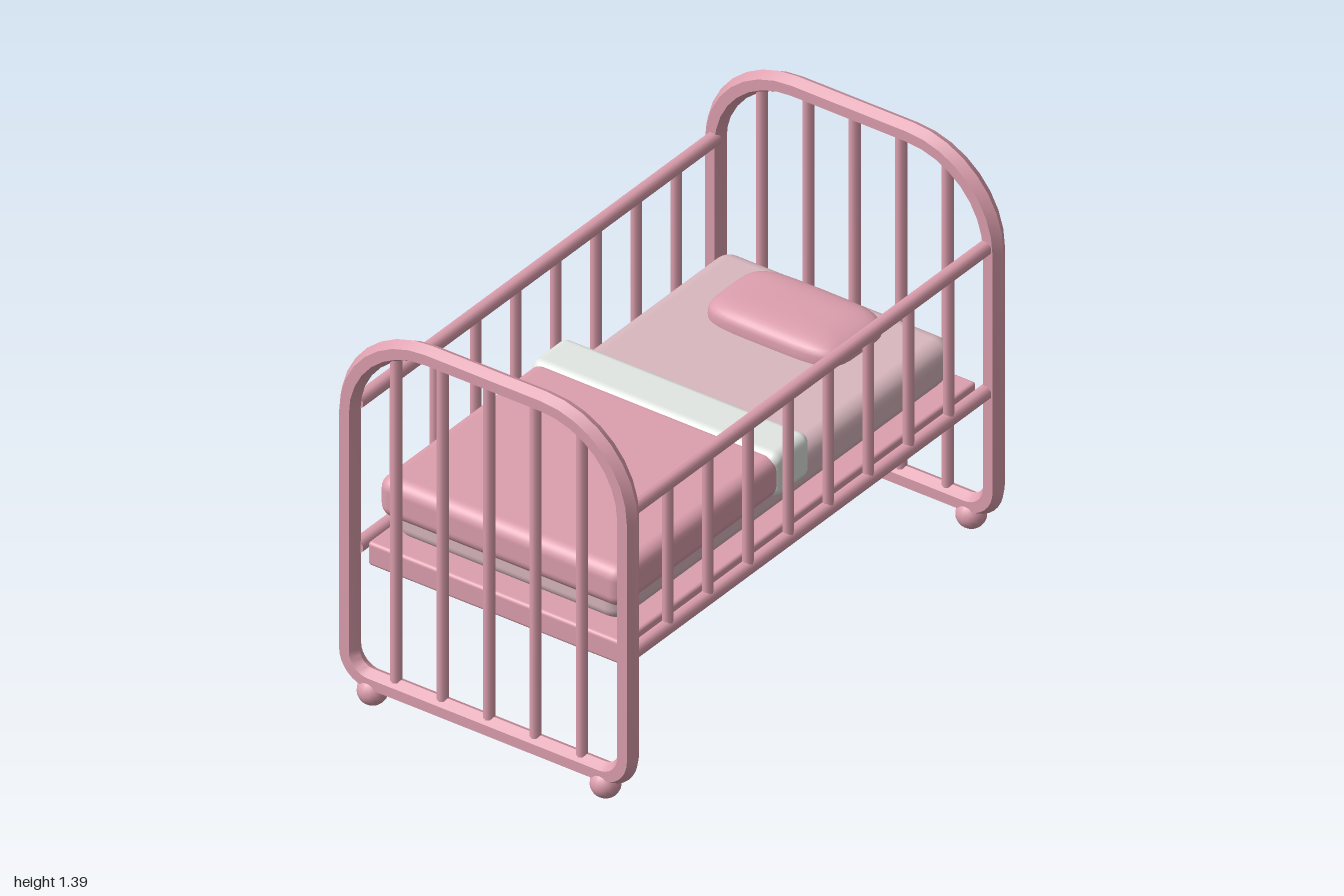
import * as THREE from 'three';
import { toCreasedNormals } from 'three/addons/utils/BufferGeometryUtils.js';
import { RoundedBoxGeometry } from 'three/addons/geometries/RoundedBoxGeometry.js';

const paint = (name, color) => Object.assign(new THREE.MeshStandardMaterial({ color }), { name });

// Closed upright loop with wide upper corners and a six-sided section
function loopFrame(radius) {
  const corners = [
    [0.22, 1.045, 0.31, 0], [-0.22, 1.045, 0.31, 1],
    [-0.44, 0.18, 0.09, 2], [0.44, 0.18, 0.09, 3],
  ];
  const steps = 8, sides = 6, pos = [], index = [];
  for (const [cx, cy, r, quarter] of corners) {
    for (let i = 0; i <= steps; i++) {
      const a = (quarter + i / steps) * Math.PI / 2;
      for (let j = 0; j < sides; j++) {
        const b = j / sides * Math.PI * 2;
        const d = r + radius * Math.cos(b);
        pos.push(cx + d * Math.cos(a), cy + d * Math.sin(a), radius * Math.sin(b));
      }
    }
  }
  const rings = pos.length / 3 / sides;
  for (let i = 0; i < rings; i++) {
    for (let j = 0; j < sides; j++) {
      const n = (i + 1) % rings, k = (j + 1) % sides;
      const a = i * sides + j, b = n * sides + j, c = n * sides + k, d = i * sides + k;
      index.push(a, b, c, a, c, d);
    }
  }
  const geo = new THREE.BufferGeometry();
  geo.setAttribute('position', new THREE.Float32BufferAttribute(pos, 3));
  geo.setIndex(index);
  return toCreasedNormals(geo, 0.9);
}

// Sphere pushed towards a soft box
function cushion(hx, hy, hz, plan, profile) {
  const geo = new THREE.SphereGeometry(1, 40, 20);
  const p = geo.attributes.position;
  const pow = (v, e) => Math.sign(v) * Math.pow(Math.abs(v), e);
  for (let i = 0; i < p.count; i++) {
    const y = p.getY(i), ring = Math.sqrt(Math.max(0, 1 - y * y));
    const c = ring > 1e-5 ? p.getX(i) / ring : 0, s = ring > 1e-5 ? p.getZ(i) / ring : 0;
    const w = Math.pow(ring, profile);
    p.setXYZ(i, hx * w * pow(c, plan), hy * pow(y, profile), hz * w * pow(s, plan));
  }
  geo.computeVertexNormals();
  return geo;
}

export function createModel() {
  const model = new THREE.Group();
  model.name = 'bed';
  const pink = paint('pink', 0xdd9fae);
  const palePink = paint('pale pink', 0xd9b8bf);
  const white = paint('off white', 0xe4e8e4);

  const add = (parent, name, geo, mat, x, y, z) => {
    const mesh = new THREE.Mesh(geo, mat);
    mesh.name = name;
    mesh.position.set(x, y, z);
    parent.add(mesh);
    return mesh;
  };
  const post = (parent, name, x, z, y0, y1, r) =>
    add(parent, name, new THREE.CylinderGeometry(r, r, y1 - y0, 8), pink, x, (y0 + y1) / 2, z);

  // Headboard and footboard
  const frameGeo = loopFrame(0.037);
  const footGeo = new THREE.SphereGeometry(0.05, 16, 12);
  for (const side of [-1, 1]) {
    const end = new THREE.Group();
    end.name = side < 0 ? 'headboard' : 'footboard';
    end.position.z = side * 0.948;
    model.add(end);
    add(end, 'endFrame', frameGeo, pink, 0, 0, 0);
    for (let i = -2; i <= 2; i++) {
      post(end, 'endBar', i * 0.177, 0, 0.1, Math.abs(i) === 2 ? 1.305 : 1.335, 0.019);
    }
    for (const x of [-0.444, 0.444]) add(end, 'foot', footGeo, pink, x, 0.05, 0);
  }

  // Side rails with their bars
  const railGeo = new THREE.CylinderGeometry(0.026, 0.026, 1.86, 8);
  railGeo.rotateY(Math.PI / 8).rotateX(Math.PI / 2);
  for (const side of [-1, 1]) {
    const rail = new THREE.Group();
    rail.name = side < 0 ? 'rightRail' : 'leftRail';
    rail.position.x = side * 0.519;
    model.add(rail);
    add(rail, 'upperRail', railGeo, pink, 0, 1.062, 0);
    add(rail, 'lowerRail', railGeo, pink, 0, 0.535, 0);
    for (let i = 0; i < 8; i++) post(rail, 'sideBar', 0, (i - 3.5) * 0.208, 0.54, 1.06, 0.018);
  }

  // Base and bedding
  const block = (name, mat, w, h, d, r, y, z) =>
    add(model, name, new RoundedBoxGeometry(w, h, d, 4, r), mat, 0, y, z);
  block('base', pink, 0.97, 0.085, 1.84, 0.012, 0.5175, 0);

  // Mattress narrows slightly towards its underside
  const mattress = block('mattress', palePink, 0.89, 0.172, 1.76, 0.06, 0.647, 0);
  const mp = mattress.geometry.attributes.position;
  for (let i = 0; i < mp.count; i++) {
    const k = 1 - 0.03 * Math.max(0, -mp.getY(i) / 0.086);
    mp.setX(i, mp.getX(i) * k);
    mp.setZ(i, mp.getZ(i) * k);
  }

  block('blanket', pink, 0.934, 0.146, 0.84, 0.045, 0.722, 0.48);
  block('foldedSheet', white, 0.945, 0.16, 0.188, 0.035, 0.725, 0.01);
  add(model, 'pillow', cushion(0.263, 0.066, 0.16, 0.45, 0.6), pink, 0, 0.738, -0.637);
  return model;
}
